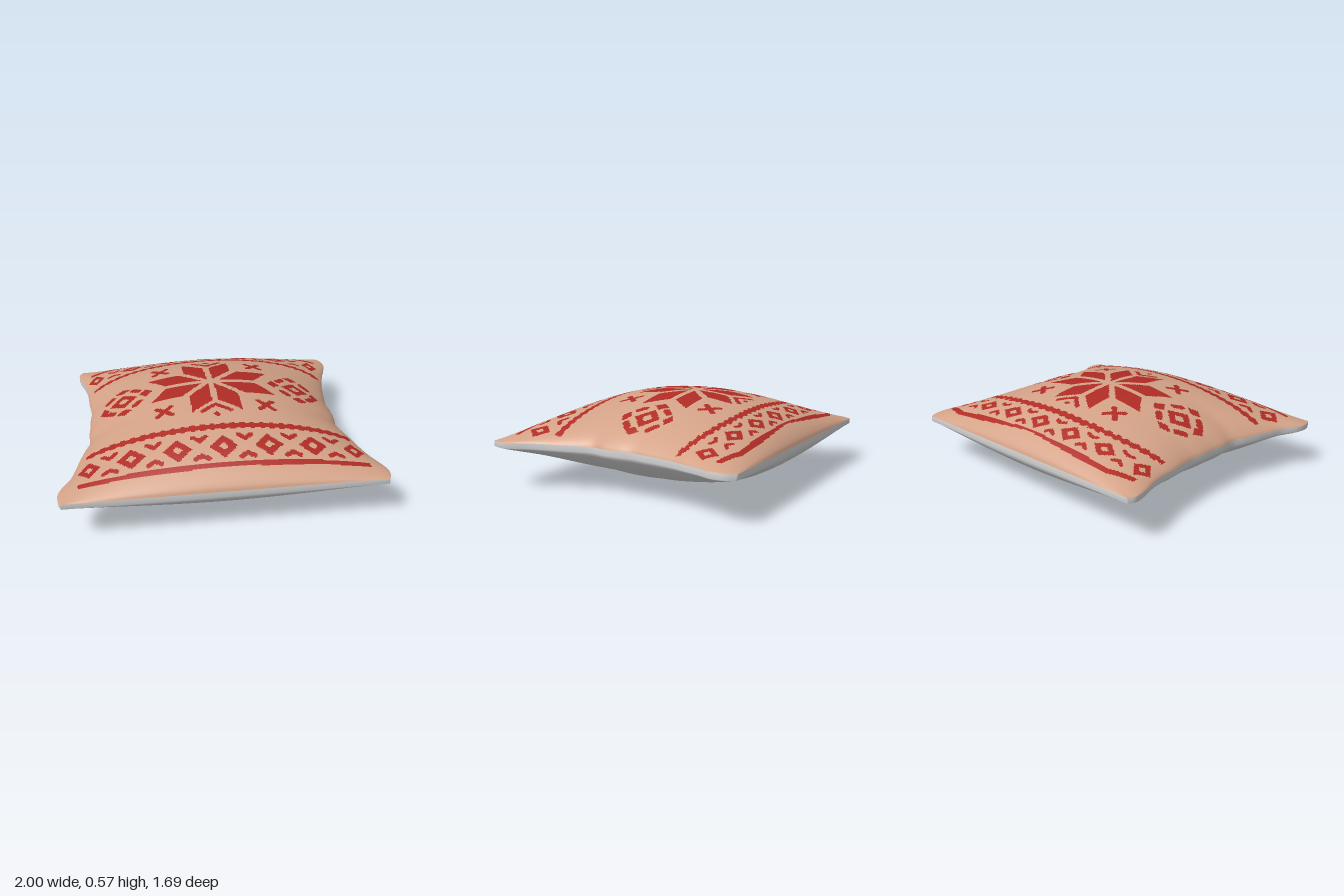
import * as THREE from 'three';

const material = (name, color) => Object.assign(new THREE.MeshStandardMaterial({ color }), { name });
const HALF_Z = 0.845, SEAM_TOP = 0.305, SEAM_LOW = 0.27;

// Cushion outline: x of the left and right edges along z
const spline = (z, x) => {
  const c = new THREE.CubicInterpolant(z, x, 1, new Float32Array(1));
  return (t) => c.evaluate(t)[0];
};
const rightEdge = spline(
  [-0.845, -0.8, -0.75, -0.7, -0.6, -0.5, -0.4, -0.2, -0.1, 0, 0.1, 0.2, 0.3, 0.4, 0.5, 0.6, 0.7, 0.75, 0.8, 0.845],
  [0.95, 0.978, 0.987, 0.983, 0.945, 0.915, 0.885, 0.85, 0.836, 0.842, 0.84, 0.826, 0.85, 0.88, 0.905, 0.938, 0.985, 1, 0.997, 0.98]);
const leftEdge = spline(
  [-0.845, -0.8, -0.75, -0.7, -0.6, -0.5, -0.4, -0.2, -0.1, 0, 0.1, 0.2, 0.3, 0.4, 0.5, 0.6, 0.7, 0.75, 0.8, 0.845],
  [-0.865, -0.89, -0.887, -0.875, -0.845, -0.826, -0.82, -0.8, -0.808, -0.81, -0.816, -0.812, -0.845, -0.875, -0.9, -0.93, -0.985, -1, -0.997, -0.98]);

const ease = (t) => t * (1.2 - 0.2 * t * t); // finer spacing near the seam
const clamp = (t) => Math.max(-1, Math.min(1, t));

// Point on the cushion plan and its bulge (0 at the seam, 1 in the middle)
function plan(s, t) {
  const u = clamp(ease(s)), z = clamp(ease(t)) * HALF_Z, v = z / HALF_Z;
  const x = THREE.MathUtils.lerp(leftEdge(z), rightEdge(z), (u + 1) / 2);
  const bulge = Math.pow(Math.max(0, 1 - u * u), 0.72) * Math.pow(Math.max(0, 1 - v * v), 0.65);
  return { x, z, bulge };
}

// Knitted pattern as a list of inside tests in the xz plane
function patternTests() {
  const tests = [];
  const diamond = (cx, cz, rx, rz, hole = 0) => tests.push((x, z) => {
    const d = Math.abs(x - cx) / rx + Math.abs(z - cz) / rz;
    return d < 1 && d >= hole;
  });
  const stroke = (x0, z0, x1, z1, w) => tests.push((x, z) => {
    const dx = x1 - x0, dz = z1 - z0;
    const k = THREE.MathUtils.clamp(((x - x0) * dx + (z - z0) * dz) / (dx * dx + dz * dz), 0, 1);
    return Math.hypot(x - x0 - k * dx, z - z0 - k * dz) < w / 2;
  });
  const polygon = (p) => tests.push((x, z) => {
    let inside = false;
    for (let i = 0, j = p.length - 1; i < p.length; j = i++) {
      const [ax, az] = p[i], [bx, bz] = p[j];
      if ((az > z) !== (bz > z) && x < ax + ((z - az) * (bx - ax)) / (bz - az)) inside = !inside;
    }
    return inside;
  });
  const band = (x0, x1, centre, half) => tests.push((x, z) =>
    x > x0 && x < x1 && Math.abs(z - centre(x)) < half(x));
  const chevron = (cx, cz, w, h, t) => {
    stroke(cx - w, cz - h, cx, cz, t);
    stroke(cx + w, cz - h, cx, cz, t);
  };
  const teeth = (x) => (Math.sin((x * 2 * Math.PI) / 0.062) > 0 ? 0.026 : 0.016);

  // Front border
  band(-0.83, 0.84, () => 0.45, teeth);
  band(-0.88, 0.89, (x) => 0.725 + 0.015 * x * x, () => 0.016);
  const front = [-0.815, -0.56, -0.28, 0, 0.28, 0.555, 0.82];
  front.forEach((x, i) => {
    diamond(x, 0.605, i % 6 ? 0.09 : 0.07, 0.08, 0.36);
    if (i === 6) return;
    const m = (x + front[i + 1]) / 2;
    chevron(m, 0.555, 0.04, 0.03, 0.03);
    chevron(m, 0.66, 0.04, -0.02, 0.03);
  });

  // Back border, bowed towards the corners
  const bow = (x) => Math.pow(Math.abs(x - 0.04) / 0.83, 3);
  band(-0.78, 0.865, (x) => -0.54 + 0.11 * bow(x), teeth);
  band(-0.8, 0.9, (x) => {
    const a = Math.abs(x - 0.05);
    return -0.73 - 0.025 * Math.sin(Math.min(1, a / 0.65) * Math.PI / 2) + (a > 0.68 ? (a - 0.68) * 0.3 : 0);
  }, (x) => 0.007 + 0.012 * Math.min(1, Math.abs(x - 0.05) / 0.5));
  const back = [-0.76, -0.5, -0.23, 0.04, 0.305, 0.575, 0.835];
  back.forEach((x, i) => {
    diamond(x, -0.65 + 0.055 * bow(x), i % 6 ? 0.085 : 0.06, i % 6 ? 0.06 : 0.075, 0.36);
    if (i === 6) return;
    const m = (x + back[i + 1]) / 2, z = -0.65 + 0.055 * bow(m);
    chevron(m, z - 0.03, 0.035, 0.022, 0.024);
    chevron(m, z + 0.04, 0.035, -0.015, 0.024);
  });

  // Eight-petal star
  const starX = 0.008, starZ = -0.06;
  for (const sx of [-1, 1]) for (const sz of [-1, 1]) {
    const petal = (points) => polygon(points.map(([x, z]) => [starX + sx * x, starZ + sz * z]));
    petal([[0.02, 0.03], [0.02, 0.25], [0.16, 0.357], [0.16, 0.175]]);
    petal([[0.06, 0.02], [0.3, 0.02], [0.408, 0.16], [0.205, 0.16]]);
  }
  chevron(0.022, -0.36, 0.09, 0.075, 0.03);
  diamond(0.022, -0.437, 0.022, 0.02);
  chevron(0, 0.235, 0.09, -0.065, 0.03);
  diamond(0, 0.335, 0.026, 0.024);

  // Corner crosses
  for (const [cx, cz] of [[-0.31, -0.35], [0.348, -0.35], [-0.326, 0.24], [0.332, 0.24]])
    for (const s of [-1, 1]) stroke(cx - 0.045, cz - s * 0.045, cx + 0.045, cz + s * 0.045, 0.034);

  // Side rosettes
  for (const [cx, s] of [[-0.578, 1], [0.588, -1]]) {
    const cz = -0.048;
    diamond(cx, cz, 0.095, 0.088, 0.4);
    diamond(cx, cz - 0.15, 0.055, 0.032);
    diamond(cx, cz + 0.15, 0.055, 0.036);
    diamond(cx - s * 0.128, cz + 0.03, 0.032, 0.05);
    diamond(cx + s * 0.15, cz - 0.015, 0.045, 0.05);
    for (const a of [-1, 1]) for (const b of [-1, 1])
      stroke(cx + a * 0.105, cz + b * 0.075, cx + a * 0.07, cz + b * 0.11, 0.042);
  }
  return tests;
}

function geometryFrom(positions, index) {
  const g = new THREE.BufferGeometry();
  g.setAttribute('position', new THREE.Float32BufferAttribute(positions, 3));
  g.setIndex(index);
  g.computeVertexNormals();
  return g;
}

export function createModel() {
  const group = new THREE.Group();
  group.name = 'cushion';
  const tan = material('tan fabric', 0xd3a287);
  const red = material('red yarn', 0xb02c25);
  const pale = material('pale grey fabric', 0xdcdcdc);

  // Top cover: cells are sorted into plain fabric and pattern
  const NX = 230, NZ = 200, pos = [], plain = [], knit = [], tests = patternTests();
  for (let j = 0; j <= NZ; j++) for (let i = 0; i <= NX; i++) {
    const p = plan((2 * i) / NX - 1, (2 * j) / NZ - 1);
    pos.push(p.x, SEAM_TOP + 0.267 * p.bulge, p.z);
  }
  for (let j = 0; j < NZ; j++) for (let i = 0; i < NX; i++) {
    const a = j * (NX + 1) + i, b = a + 1, c = a + NX + 1, d = c + 1;
    const x = (pos[3 * a] + pos[3 * d]) / 2, z = (pos[3 * a + 2] + pos[3 * d + 2]) / 2;
    (tests.some((inside) => inside(x, z)) ? knit : plain).push(a, c, b, b, c, d);
  }
  const top = geometryFrom(pos, [...plain, ...knit]);
  top.addGroup(0, plain.length, 0);
  top.addGroup(plain.length, knit.length, 1);
  const topCover = new THREE.Mesh(top, [tan, red]);
  topCover.name = 'topCover';

  // Bottom cover, with one extra ring that rises to the seam
  const BX = 115, BZ = 100, low = [], lowIndex = [], row = BX + 3;
  for (let j = -1; j <= BZ + 1; j++) for (let i = -1; i <= BX + 1; i++) {
    const p = plan(clamp((2 * i) / BX - 1), clamp((2 * j) / BZ - 1));
    const rim = i < 0 || j < 0 || i > BX || j > BZ;
    low.push(p.x, rim ? SEAM_TOP : SEAM_LOW * (1 - p.bulge), p.z);
  }
  for (let j = 0; j < BZ + 2; j++) for (let i = 0; i < BX + 2; i++) {
    const a = j * row + i, b = a + 1, c = a + row, d = c + 1;
    lowIndex.push(a, b, c, b, d, c);
  }
  const bottomCover = new THREE.Mesh(geometryFrom(low, lowIndex), pale);
  bottomCover.name = 'bottomCover';

  group.add(topCover, bottomCover);
  return group;
}
